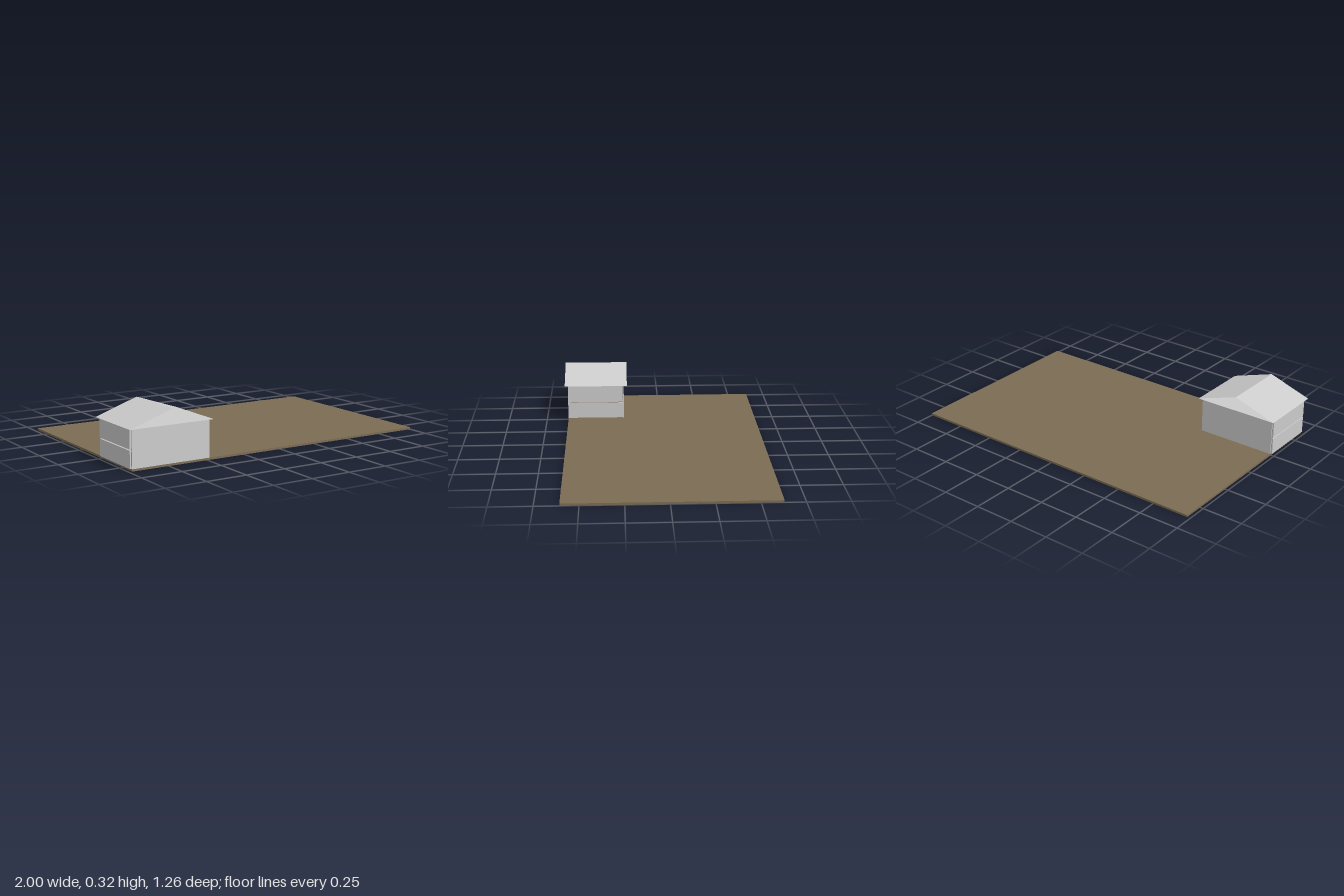
import * as THREE from 'three';

export function createModel() {
  const model = new THREE.Group();
  model.name = 'plotWithShed';

  const soil = new THREE.MeshStandardMaterial({ color: 0x7c6c54 });
  soil.name = 'soil brown';
  const grey = new THREE.MeshStandardMaterial({ color: 0xcccccc, side: THREE.DoubleSide });
  grey.name = 'light grey';

  // Box given by its minimum and maximum corners
  function box(name, material, [x0, y0, z0], [x1, y1, z1], parent = model) {
    const mesh = new THREE.Mesh(new THREE.BoxGeometry(x1 - x0, y1 - y0, z1 - z0), material);
    mesh.position.set((x0 + x1) / 2, (y0 + y1) / 2, (z0 + z1) / 2);
    mesh.name = name;
    parent.add(mesh);
  }

  // Ground slab
  box('groundSlab', soil, [-0.98, 0, -0.628], [1, 0.013, 0.607]);

  const shed = new THREE.Group();
  shed.name = 'shed';
  model.add(shed);

  // Front and back walls
  box('frontWall', grey, [-0.98, 0.013, 0.602], [-0.487, 0.236, 0.608], shed);
  box('backWall', grey, [-0.98, 0.013, 0.24], [-0.487, 0.236, 0.246], shed);

  // Two stacked panels on each side, with a narrow gap between
  for (const [side, x] of [['right', -0.989], ['left', -0.496]]) {
    box(side + 'LowerPanel', grey, [x, 0.014, 0.247], [x + 0.008, 0.116, 0.601], shed);
    box(side + 'UpperPanel', grey, [x, 0.122, 0.247], [x + 0.008, 0.232, 0.601], shed);
  }

  // Thin roof sheets running from back to front, with open gables
  const zBack = 0.219, zFront = 0.628;
  const eaveRight = [-1, 0.236], ridge = [-0.735, 0.325], eaveLeft = [-0.47, 0.236];
  function sheet(name, [xa, ya], [xb, yb]) {
    const geometry = new THREE.PlaneGeometry(Math.hypot(xb - xa, yb - ya), zFront - zBack);
    geometry.rotateX(-Math.PI / 2);
    geometry.rotateZ(Math.atan2(yb - ya, xb - xa));
    const mesh = new THREE.Mesh(geometry, grey);
    mesh.position.set((xa + xb) / 2, (ya + yb) / 2, (zBack + zFront) / 2);
    mesh.name = name;
    shed.add(mesh);
  }
  sheet('roofSlopeRight', eaveRight, ridge);
  sheet('roofSlopeLeft', ridge, eaveLeft);
  sheet('ceiling', eaveRight, eaveLeft);

  return model;
}
